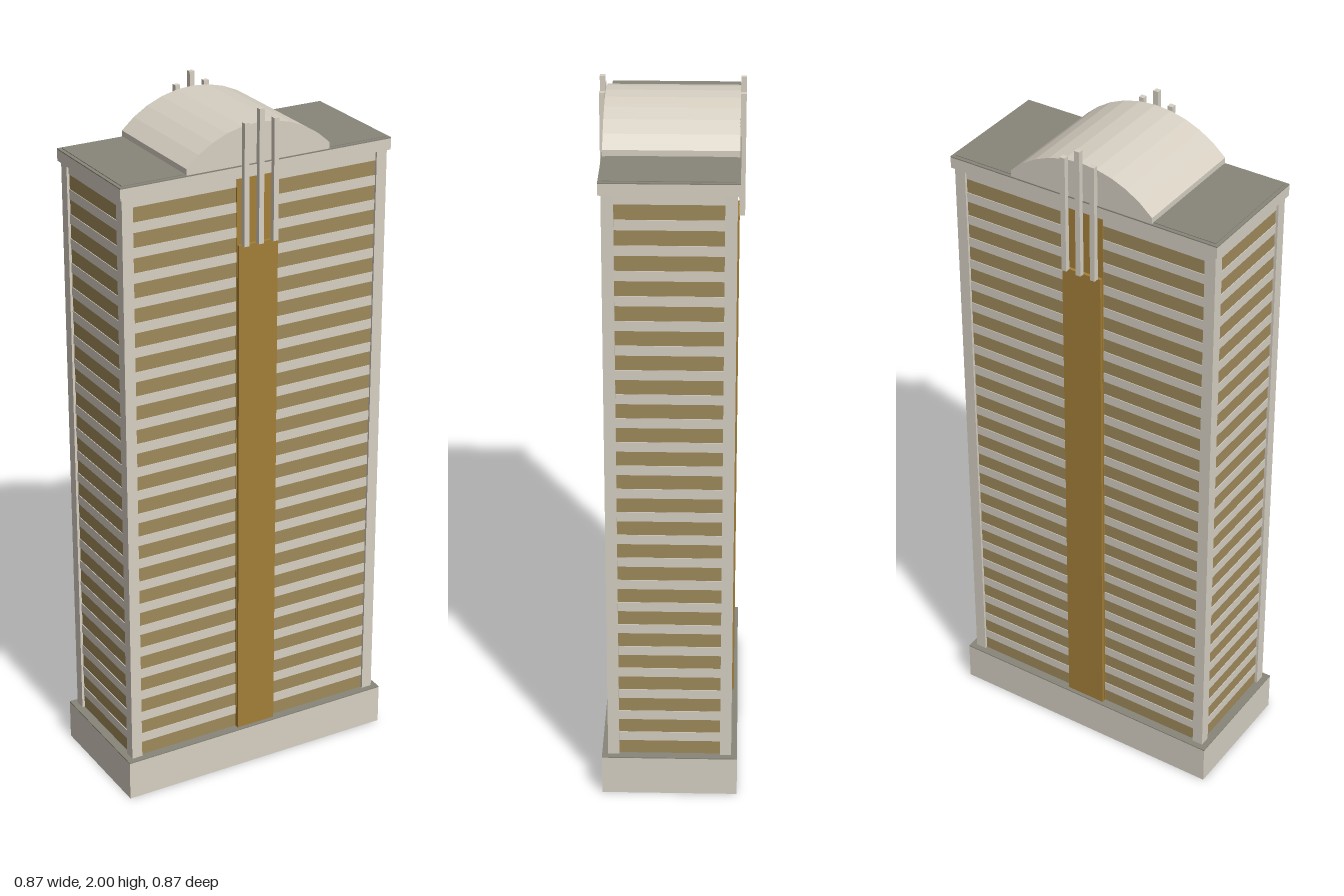
import * as THREE from 'three';

const mat = (name, color) => {
  const m = new THREE.MeshStandardMaterial({ color });
  m.name = name;
  return m;
};

export function createModel() {
  const stone = mat('pale stone', 0xd6cfc2);
  const glass = mat('bronze glass', 0x9e8a5a);
  const gold = mat('gold panel', 0xa37f38);
  const roof = mat('roof grey', 0x88857a);

  const model = new THREE.Group();
  model.name = 'officeTower';
  const tower = new THREE.Group();
  tower.name = 'tower';
  tower.rotation.y = Math.PI / 4; // the tower stands diagonally
  model.add(tower);

  // Box given by width, depth, bottom, top and centre
  const box = (name, material, w, d, y0, y1, x = 0, z = 0) => {
    const mesh = new THREE.Mesh(new THREE.BoxGeometry(w, y1 - y0, d), material);
    mesh.position.set(x, (y0 + y1) / 2, z);
    mesh.name = name;
    tower.add(mesh);
    return mesh;
  };

  // Plinth with a dark ledge on top
  box('plinth', stone, 0.845, 0.384, 0, 0.117);
  box('plinthLedge', roof, 0.845, 0.384, 0.117, 0.12);

  // Glass core wrapped by pale floor bands
  const bottom = 0.12, top = 1.815, floors = 24;
  const step = (top - bottom) / floors;
  box('glassCore', glass, 0.794, 0.334, bottom, top);
  for (let i = 0; i < floors; i++) {
    const y = bottom + i * step;
    box('floorBand', stone, 0.798, 0.338, y + step * 0.6, y + step);
  }

  // Corner columns
  for (const sx of [-1, 1]) for (const sz of [-1, 1]) {
    box('cornerColumn', stone, 0.032, 0.032, bottom, top, sx * 0.389, sz * 0.159);
  }

  // Cornice and dark flat roof
  box('cornice', stone, 0.825, 0.365, top, 1.847);
  box('roofRim', roof, 0.825, 0.365, 1.847, 1.85);
  box('flatRoof', roof, 0.805, 0.345, 1.85, 1.852);

  // Vaulted roof across the middle
  const half = 0.218, spring = 1.868, rise = 0.092, segments = 10;
  const radius = (half * half + rise * rise) / (2 * rise);
  const sweep = Math.asin(half / radius);
  const profile = new THREE.Shape();
  profile.moveTo(-half, 1.848);
  profile.lineTo(half, 1.848);
  for (let i = 0; i <= segments; i++) {
    const a = sweep * (1 - (2 * i) / segments);
    profile.lineTo(radius * Math.sin(a), spring + rise - radius * (1 - Math.cos(a)));
  }
  const vaultGeometry = new THREE.ExtrudeGeometry(profile, { depth: 0.36, bevelEnabled: false });
  vaultGeometry.translate(0, 0, -0.18);
  const vault = new THREE.Mesh(vaultGeometry, stone);
  vault.name = 'vaultedRoof';
  tower.add(vault);

  // Gold shaft and three masts on each long side
  for (const s of [-1, 1]) {
    box('shaftBacking', gold, 0.124, 0.006, bottom, top, 0, s * 0.168);
    box('goldShaft', gold, 0.12, 0.014, bottom, 1.625, 0, s * 0.174);
    for (const i of [-1, 0, 1]) {
      box('mast', stone, 0.015, 0.015, 1.625, i === 0 ? 2 : 1.968, i * 0.045, s * 0.188);
    }
  }
  return model;
}
